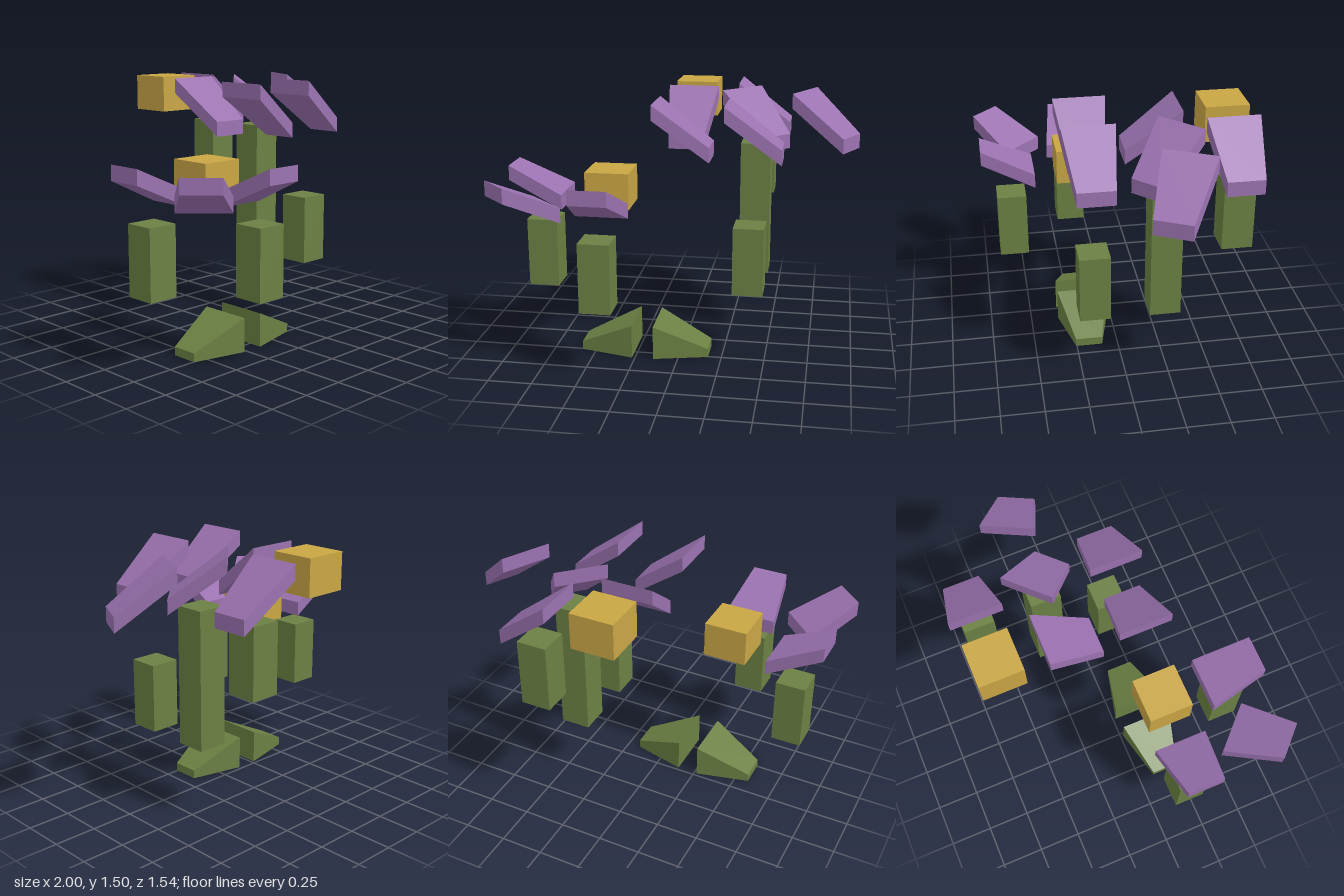
import * as THREE from 'three';

// Block tapering along +x from an inner end to an outer end.
// Each end is { w: width, b: bottom y, t: top y }.
function taperedBlock(length, inner, outer) {
  const geo = new THREE.BoxGeometry(length, 1, 1);
  const p = geo.attributes.position;
  for (let i = 0; i < p.count; i++) {
    const end = p.getX(i) < 0 ? inner : outer;
    p.setY(i, p.getY(i) < 0 ? end.b : end.t);
    p.setZ(i, p.getZ(i) * end.w);
  }
  geo.computeVertexNormals();
  return geo;
}

export function createModel() {
  const model = new THREE.Group();
  model.name = 'blockFlowers';

  const material = (name, color) => {
    const m = new THREE.MeshStandardMaterial({ color });
    m.name = name;
    return m;
  };
  const green = material('leafGreen', 0x6b8043);
  const purple = material('petalPurple', 0x9b72b0);
  const gold = material('centreGold', 0xc9a645);

  const add = (name, geo, mat, x, y, z, direction = 0) => {
    const mesh = new THREE.Mesh(geo, mat);
    mesh.name = name;
    mesh.position.set(x, y, z);
    mesh.rotation.y = -direction; // direction turns from +x towards +z
    model.add(mesh);
  };

  // Stems: x, z, bottom, top
  const stems = [
    [-0.8, 0.175, 0.4, 0.8],
    [-0.4, 0.575, 0.4, 0.8],
    [0.395, 0.175, 0.4, 0.8],
    [0.395, -0.225, 0.4, 1.2],
    [0.395, -0.62, 0.8, 1.2],
  ];
  for (const [x, z, b, t] of stems) {
    add('stem', new THREE.BoxGeometry(0.176, t - b, 0.176), green, x, (b + t) / 2, z);
  }

  // Ground leaves, sloping down away from each other
  const leaf = taperedBlock(0.315, { w: 0.314, b: 0, t: 0.2 }, { w: 0.16, b: 0, t: 0.05 });
  add('groundLeaf', leaf, green, 0.015, 0, 0.175);
  add('groundLeaf', leaf, green, -0.425, 0, 0.175, Math.PI);

  // Flower centres
  const centre = new THREE.BoxGeometry(0.252, 0.21, 0.252);
  add('tallFlowerCentre', centre, gold, -0.005, 1.395, -0.625);
  add('shortFlowerCentre', centre, gold, -0.405, 0.995, 0.173);

  // Drooping petals of the tall flower: x, z, direction
  const drooping = taperedBlock(0.315, { w: 0.3, b: 1.412, t: 1.498 }, { w: 0.21, b: 1.174, t: 1.26 });
  const tallPetals = [
    [0.415, -0.625, 0],
    [0.015, 0.175, 0],
    [0.415, 0.175, 0],
    [-0.005, -0.21, Math.PI / 2],
    [0.406, -0.214, Math.PI / 4],
    [0.808, -0.22, Math.atan2(1, 2)],
  ];
  for (const [x, z, d] of tallPetals) add('droopingPetal', drooping, purple, x, 0, z, d);

  // Raised petals of the short flower
  const raised = taperedBlock(0.315, { w: 0.3, b: 0.884, t: 0.97 }, { w: 0.21, b: 1.034, t: 1.12 });
  const shortPetals = [
    [-0.82, 0.175, Math.PI],
    [-0.814, 0.584, Math.PI * 0.75],
    [-0.405, 0.59, Math.PI / 2],
  ];
  for (const [x, z, d] of shortPetals) add('raisedPetal', raised, purple, x, 0, z, d);

  return model;
}
